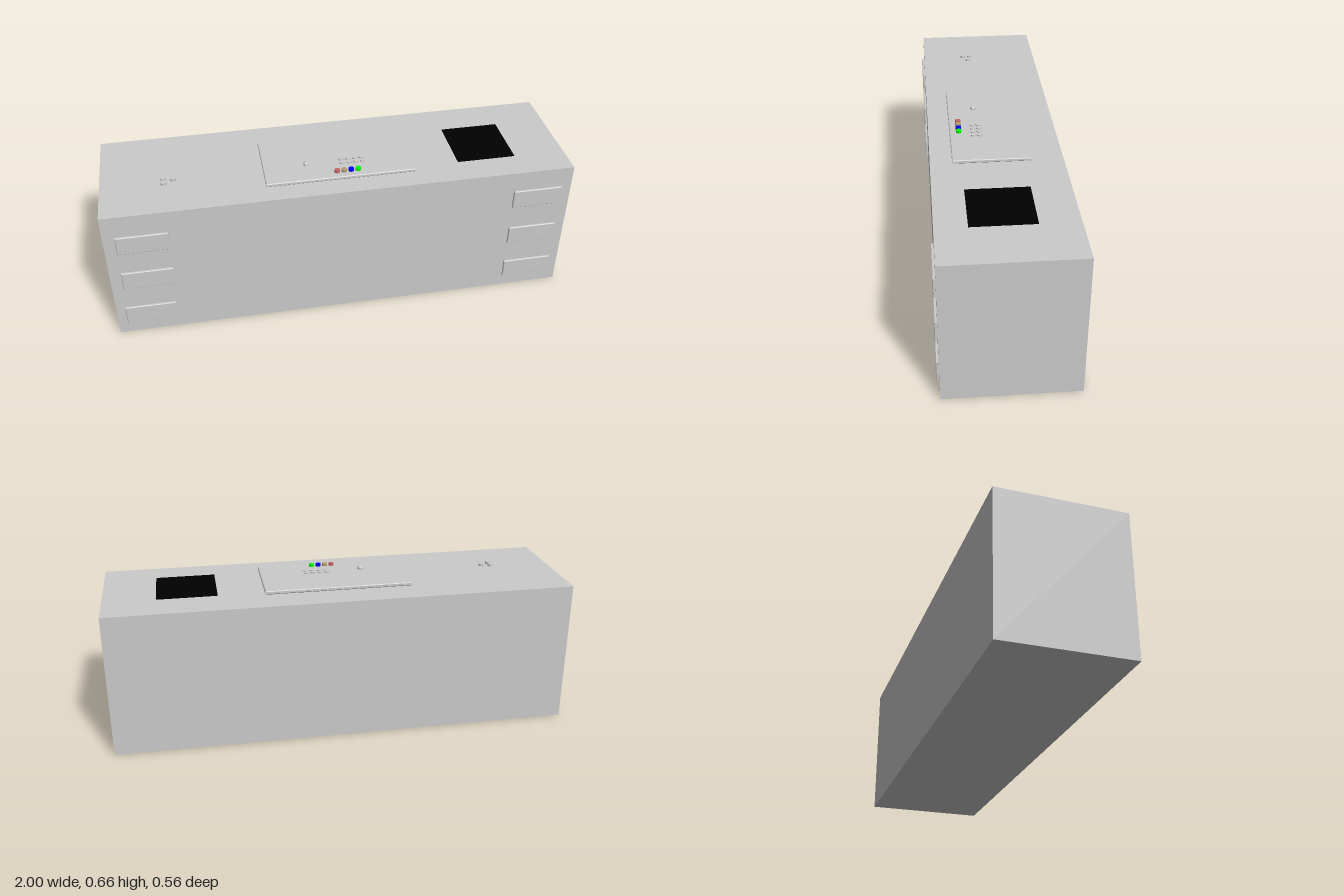
import * as THREE from 'three';

const GREY = 0xcccccc;
const TOP = 0.63;   // height of the cabinet top
const DECK = 0.645; // height of the control panel top

function addMesh(parent, name, geometry, color = GREY) {
  const mesh = new THREE.Mesh(geometry, new THREE.MeshStandardMaterial({ color }));
  mesh.name = name;
  parent.add(mesh);
  return mesh;
}

// Rectangular plate with a bevelled rim, its back on z = 0 and its face toward +z
function plate(w, h, depth, bevel) {
  const x = w / 2 - bevel, y = h / 2 - bevel;
  const shape = new THREE.Shape([[-x, -y], [x, -y], [x, y], [-x, y]].map(p => new THREE.Vector2(...p)));
  const geometry = new THREE.ExtrudeGeometry(shape, {
    depth: depth - 2 * bevel, bevelEnabled: true, bevelThickness: bevel, bevelSize: bevel, bevelSegments: 1
  });
  return geometry.translate(0, 0, bevel);
}

// Upright round button standing on height y
function button(parent, name, x, y, z, radius, height, color) {
  addMesh(parent, name, new THREE.CylinderGeometry(radius, radius, height, 20), color)
    .position.set(x, y + height / 2, z);
}

export function createModel() {
  const model = new THREE.Group();
  model.name = 'controlConsole';

  // Cabinet
  addMesh(model, 'cabinet', new THREE.BoxGeometry(2, TOP, 0.55)).position.set(0, TOP / 2, -0.005);

  // Drawer fronts: three at each end
  const drawers = [
    [-0.843, 0.488], [-0.843, 0.298], [-0.852, 0.104],
    [0.848, 0.497], [0.848, 0.298], [0.848, 0.104]
  ];
  for (const [x, y] of drawers) {
    addMesh(model, 'drawerFront', plate(0.215, 0.086, 0.012, 0.003)).position.set(x, y, 0.27);
  }

  // Raised control panel
  const panel = new THREE.Group();
  panel.name = 'controlPanel';
  model.add(panel);
  const board = addMesh(panel, 'panelBoard', plate(0.637, 0.323, DECK - TOP, 0.003));
  board.rotation.x = -Math.PI / 2;
  board.position.set(0.003, TOP, 0.017);

  // Joystick: short stem under a ball
  button(panel, 'joystickStem', -0.13, DECK, 0.065, 0.009, 0.005, GREY);
  addMesh(panel, 'joystickBall', new THREE.SphereGeometry(0.012, 20, 12)).position.set(-0.13, 0.649, 0.065);

  // Keypad: four columns by two rows
  for (let i = 0; i < 4; i++) {
    for (const z of [0.05, 0.077]) {
      button(panel, 'keypadButton', 0.024 + i * 0.03, DECK, z, 0.012, 0.005, GREY);
    }
  }

  // Row of coloured buttons
  [0xc86464, 0xb4a06e, 0x0000ff, 0x00ff00].forEach((color, i) => {
    button(panel, 'colouredButton', -0.009 + i * 0.03, DECK, 0.139, 0.012, 0.011, color);
  });

  // Flat black screen
  addMesh(model, 'screen', new THREE.BoxGeometry(0.255, 0.004, 0.26), 0x000000)
    .position.set(0.648, TOP, 0.012);

  // Cluster of three knobs
  for (const [x, z] of [[-0.735, 0.075], [-0.735, 0.043], [-0.695, 0.053]]) {
    button(model, 'knob', x, TOP, z, 0.012, 0.01, GREY);
  }

  return model;
}
